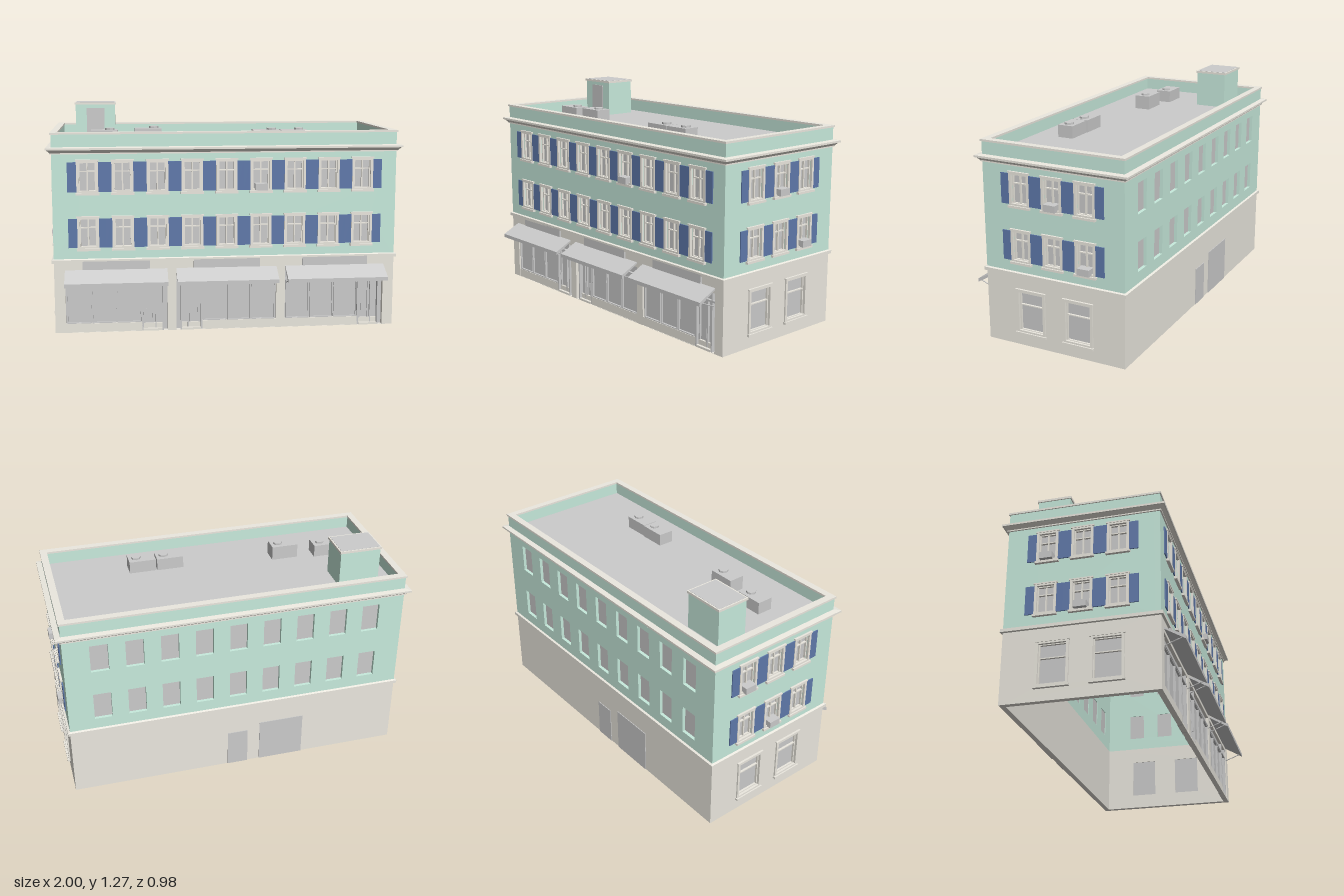
import * as THREE from 'three';

const mat = (color) => new THREE.MeshStandardMaterial({ color, flatShading: true, side: THREE.DoubleSide });
const GREY = mat(0xcccccc), MINT = mat(0xc8ebdd), CREAM = mat(0xebe8df), BLUE = mat(0x5f79ab);

// Building footprint, floor heights and window layout
const HX = 0.968, HZ = 0.418, CZ = -0.04, T = 0.03;
const BAND = 0.41, ROOF = 1.05, TOP = 1.12;
const PITCH = 0.1935, BAY = 0.622, BAY_W = 0.572;
const ROWS = [[0.487, 0.651], [0.8, 0.966]];

function add(parent, name, geometry, material) {
  const mesh = new THREE.Mesh(geometry, material);
  mesh.name = name;
  parent.add(mesh);
  return mesh;
}

// Box given by its two extreme corners
function box(parent, name, material, x0, x1, y0, y1, z0, z1) {
  const mesh = add(parent, name, new THREE.BoxGeometry(x1 - x0, y1 - y0, z1 - z0), material);
  mesh.position.set((x0 + x1) / 2, (y0 + y1) / 2, (z0 + z1) / 2);
  return mesh;
}

function rectPath(path, x0, x1, y0, y1) {
  return path.moveTo(x0, y0).lineTo(x1, y0).lineTo(x1, y1).lineTo(x0, y1).closePath();
}

// Wall slab whose outer surface is local z = 0, pierced by [x0, x1, y0, y1] openings
function wall(parent, name, material, half, y0, y1, openings) {
  const shape = rectPath(new THREE.Shape(), -half, half, y0, y1);
  for (const o of openings) shape.holes.push(rectPath(new THREE.Path(), ...o));
  const geometry = new THREE.ExtrudeGeometry(shape, { depth: T, bevelEnabled: false });
  add(parent, name, geometry.translate(0, 0, -T), material);
}

// Moulding swept round the footprint from [overhang, height] points
function moulding(parent, name, material, profile) {
  const pos = [], index = [];
  for (const [o, y] of profile)
    for (const [sx, sz] of [[-1, 1], [1, 1], [1, -1], [-1, -1]])
      pos.push(sx * (HX + o), y, CZ + sz * (HZ + o));
  for (let i = 0; i < profile.length - 1; i++)
    for (let j = 0; j < 4; j++) {
      const a = i * 4 + j, b = i * 4 + (j + 1) % 4;
      index.push(a, b, b + 4, a, b + 4, a + 4);
    }
  let geometry = new THREE.BufferGeometry();
  geometry.setAttribute('position', new THREE.Float32BufferAttribute(pos, 3));
  geometry.setIndex(index);
  geometry = geometry.toNonIndexed();
  geometry.computeVertexNormals();
  add(parent, name, geometry, material);
}

// Rectangular border of four bars
function frame(parent, name, material, x0, x1, y0, y1, w, z0, z1) {
  box(parent, name, material, x0, x0 + w, y0, y1, z0, z1);
  box(parent, name, material, x1 - w, x1, y0, y1, z0, z1);
  box(parent, name, material, x0 + w, x1 - w, y0, y0 + w, z0, z1);
  box(parent, name, material, x0 + w, x1 - w, y1 - w, y1, z0, z1);
}

// Cased sash window with head, sill, transom and optional mullion
function sashWindow(parent, x, y0, y1, half, bar, mullion) {
  const g = new THREE.Group();
  g.name = 'window';
  g.position.x = x;
  parent.add(g);
  box(g, 'glass', GREY, -half, half, y0, y1, -0.026, -0.02);
  frame(g, 'sash', CREAM, -half, half, y0, y1, 0.007, -0.02, -0.008);
  box(g, 'transom', CREAM, -half, half, bar - 0.003, bar + 0.003, -0.02, -0.008);
  if (mullion) box(g, 'mullion', CREAM, -0.004, 0.004, y0, y1, -0.02, -0.009);
  frame(g, 'casing', CREAM, -half - 0.012, half + 0.012, y0 - 0.008, y1 + 0.01, 0.014, -0.004, 0.009);
  box(g, 'head', CREAM, -half - 0.016, half + 0.016, y1 + 0.006, y1 + 0.014, 0, 0.012);
  box(g, 'sill', CREAM, -half - 0.017, half + 0.017, y0 - 0.017, y0 - 0.004, 0, 0.017);
}

// Two storeys of shuttered windows
function windowRows(face, count) {
  for (const [y0, y1] of ROWS)
    for (let i = 0; i < count; i++) {
      const x = (i - (count - 1) / 2) * PITCH;
      sashWindow(face, x, y0, y1, 0.048, y0 + (y1 - y0) * 0.68, true);
      const left = i === 0 ? 0.11 : PITCH / 2, right = i === count - 1 ? 0.11 : PITCH / 2;
      box(face, 'shutter', BLUE, x - left, x - 0.06, y0, y1, 0, 0.006);
      box(face, 'shutter', BLUE, x + 0.06, x + right, y0, y1, 0, 0.006);
    }
}

function openings(count, half) {
  return ROWS.flatMap(([y0, y1]) => Array.from({ length: count }, (_, i) => {
    const x = (i - (count - 1) / 2) * PITCH;
    return [x - half, x + half, y0, y1];
  }));
}

function airConditioner(face, x, y) {
  box(face, 'windowAirConditioner', GREY, x - 0.035, x + 0.035, y, y + 0.037, -0.02, 0.032);
}

// Shop bay: three display panes, recessed door, sign and awning; dir mirrors the door side
function shopBay(face, x, dir) {
  const g = new THREE.Group();
  g.name = 'shopBay';
  g.position.x = x;
  face.add(g);
  const h = BAY_W / 2;
  const part = (name, m, a, b, ...rest) => box(g, name, m, Math.min(a * dir, b * dir), Math.max(a * dir, b * dir), ...rest);
  part('stallRiser', CREAM, -h, 0.141, 0, 0.05, -0.025, -0.003);
  part('displayGlass', GREY, -h, 0.141, 0.05, 0.33, -0.024, -0.018);
  for (let i = 0; i < 3; i++) {
    const a = -0.28 + i * 0.14, pair = [a * dir, (a + 0.135) * dir].sort((p, q) => p - q);
    frame(g, 'paneFrame', GREY, ...pair, 0.05, 0.275, 0.005, -0.018, -0.006);
  }
  part('transom', GREY, -h, h, 0.275, 0.285, -0.018, -0.003);
  part('doorPost', GREY, 0.138, 0.148, 0, 0.33, -0.03, -0.003);
  part('doorPost', GREY, 0.256, 0.264, 0, 0.33, -0.03, -0.003);
  part('doorStep', CREAM, 0.148, 0.256, 0, 0.012, -0.03, 0);
  part('doorGlass', GREY, 0.14, h, 0, 0.33, -0.032, -0.028);
  const leaf = [0.15 * dir, 0.21 * dir].sort((p, q) => p - q);
  frame(g, 'doorLeaf', GREY, ...leaf, 0.012, 0.27, 0.009, -0.028, -0.018);
  part('kickPlate', CREAM, 0.15, 0.255, 0.012, 0.04, -0.028, -0.016);
  part('doorHandle', GREY, 0.163, 0.167, 0.08, 0.125, -0.018, -0.008);
  part('sideLightBar', GREY, 0.215, 0.222, 0.012, 0.275, -0.028, -0.014);
  box(g, 'signBoard', GREY, -0.188, 0.188, 0.362, 0.41, 0, 0.012);
  // Sloping awning with a shallow front valance, held by two arms
  const section = new THREE.Shape([[0, 0.35], [0.109, 0.284], [0.109, 0.305], [0, 0.36]].map((p) => new THREE.Vector2(...p)));
  const awning = new THREE.ExtrudeGeometry(section, { depth: BAY_W, bevelEnabled: false });
  add(g, 'awning', awning.rotateY(-Math.PI / 2).translate(h, 0, 0), GREY);
  for (const s of [-1, 1]) {
    const arm = new THREE.LineCurve3(new THREE.Vector3(s * (h - 0.008), 0.262, 0), new THREE.Vector3(s * (h - 0.008), 0.3, 0.1));
    add(g, 'awningArm', new THREE.TubeGeometry(arm, 1, 0.003, 6), GREY);
  }
}

export function createModel() {
  const model = new THREE.Group();
  model.name = 'shopBuilding';
  const faceGroup = (name, x, z, turn) => {
    const g = new THREE.Group();
    g.name = name;
    g.position.set(x, 0, z);
    g.rotation.y = turn;
    model.add(g);
    return g;
  };

  // Front with shops
  const front = faceGroup('frontFace', 0, CZ + HZ, 0);
  const bays = [-BAY, 0, BAY];
  wall(front, 'groundWall', CREAM, HX, 0, BAND, bays.map((x) => [x - BAY_W / 2, x + BAY_W / 2, 0.001, 0.33]));
  wall(front, 'upperWall', MINT, HX, BAND, TOP, openings(9, 0.048));
  windowRows(front, 9);
  bays.forEach((x, i) => shopBay(front, x, i === 1 ? -1 : 1));
  airConditioner(front, PITCH, 0.8);

  // Both ends
  for (const s of [-1, 1]) {
    const end = faceGroup(s > 0 ? 'leftFace' : 'rightFace', s * HX, CZ, s * Math.PI / 2);
    wall(end, 'groundWall', CREAM, HZ - T, 0, BAND, [-0.144, 0.144].map((x) => [x - 0.076, x + 0.076, 0.084, 0.314]));
    wall(end, 'upperWall', MINT, HZ - T, BAND, TOP, openings(3, 0.048));
    windowRows(end, 3);
    for (const x of [-0.144, 0.144]) sashWindow(end, x, 0.084, 0.314, 0.076, 0.235, false);
    airConditioner(end, s > 0 ? 0 : -PITCH, 0.8);
    airConditioner(end, s > 0 ? PITCH : 0, 0.487);
  }

  // Plain back with two service doors
  const back = faceGroup('backFace', 0, CZ - HZ, Math.PI);
  wall(back, 'groundWall', CREAM, HX, 0, BAND, []);
  wall(back, 'upperWall', MINT, HX, BAND, TOP, openings(9, 0.05));
  for (const [x0, x1, y0, y1] of openings(9, 0.05)) box(back, 'backGlass', GREY, x0, x1, y0, y1, -0.026, -0.018);
  box(back, 'serviceDoor', GREY, -0.06, 0.06, 0, 0.225, -0.002, 0.004);
  box(back, 'loadingDoor', GREY, 0.133, 0.398, 0, 0.265, -0.002, 0.004);

  // Mouldings and roof
  moulding(model, 'floorBand', CREAM, [[0, 0.4], [0.012, 0.402], [0.012, 0.42], [0, 0.424]]);
  moulding(model, 'cornice', CREAM, [[0, 1.01], [0.008, 1.01], [0.008, 1.017], [0.024, 1.034], [0.031, 1.034], [0.031, 1.045], [0, 1.049]]);
  moulding(model, 'parapetCap', CREAM, [[0, 1.118], [0.006, 1.118], [0.006, 1.129], [-0.034, 1.129], [-0.034, 1.118], [-0.028, 1.118]]);
  box(model, 'roof', GREY, -HX + T, HX - T, ROOF - 0.01, ROOF, CZ - HZ + T, CZ + HZ - T);

  // Stair house
  box(model, 'stairHouse', MINT, -0.852, -0.618, ROOF, 1.255, -0.34, -0.157);
  box(model, 'stairHouseCap', CREAM, -0.858, -0.612, 1.255, 1.268, -0.346, -0.151);
  box(model, 'stairHouseRoof', GREY, -0.85, -0.62, 1.266, 1.269, -0.338, -0.159);
  box(model, 'stairHouseDoor', GREY, -0.787, -0.682, ROOF, 1.235, -0.158, -0.152);

  // Rooftop cooling units
  for (const [x, z, h] of [[-0.68, 0.073, 0.07], [-0.428, 0.1, 0.081], [0.253, 0.153, 0.07], [0.413, 0.157, 0.07]]) {
    box(model, 'coolingUnit', GREY, x - 0.077, x + 0.077, ROOF, ROOF + h, z - 0.046, z + 0.046);
    const fan = add(model, 'coolingFan', new THREE.CylinderGeometry(0.027, 0.027, 0.011, 8), GREY);
    fan.position.set(x + 0.032, ROOF + h + 0.0055, z);
  }
  return model;
}
